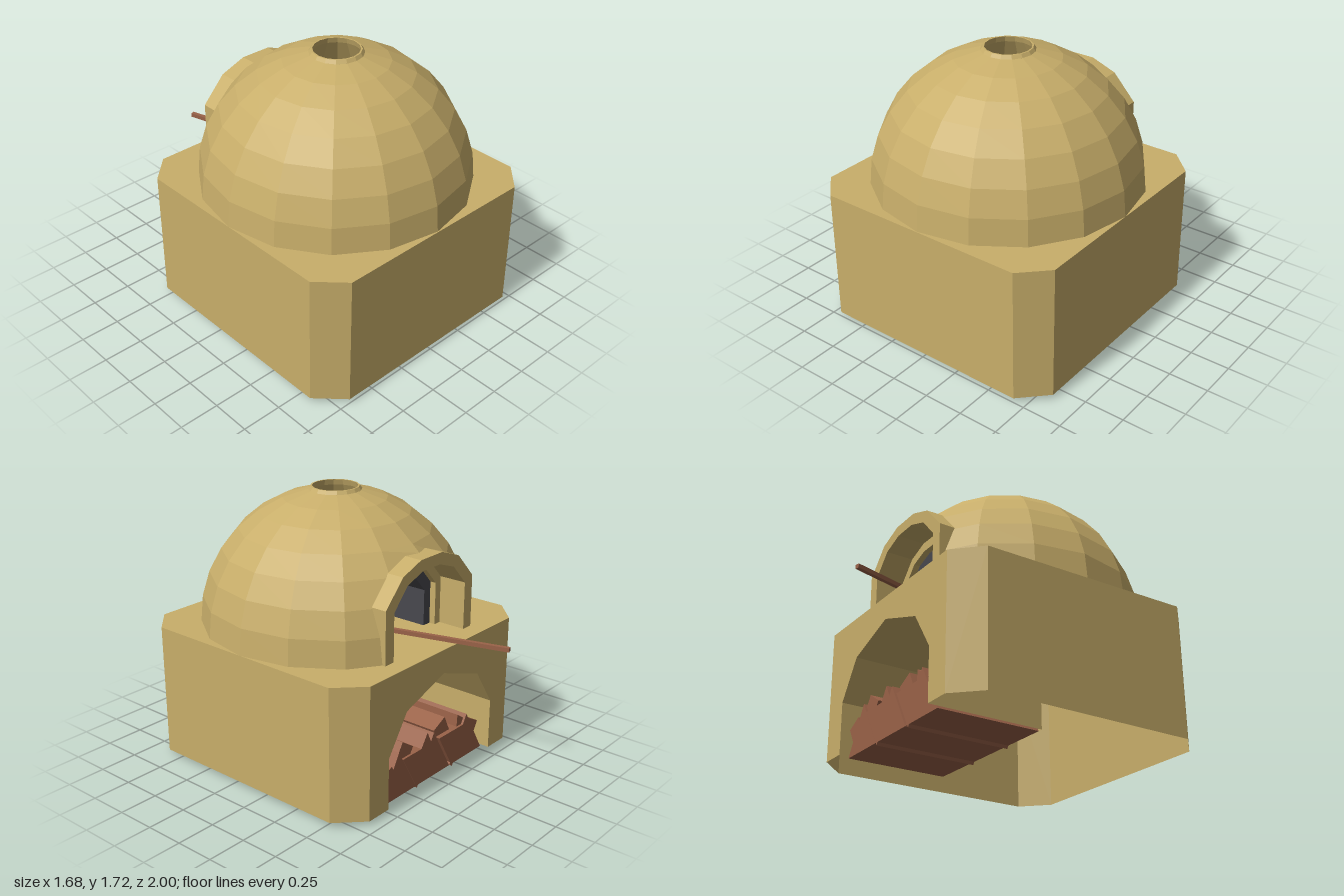
import * as THREE from 'three';

const mat = (color) => new THREE.MeshStandardMaterial({ color, flatShading: true, side: THREE.DoubleSide });
const clay = mat(0xc8ae6a), iron = mat(0x48484e), wood = mat(0x9a6248);

const V = (x, y) => new THREE.Vector2(x, y);

// Right half of an arch (from foot to crown) mirrored into a full outline
const mirrored = (half) => [
  ...half.map(([x, y]) => V(x, y)),
  ...half.filter(([x]) => x > 0).reverse().map(([x, y]) => V(-x, y)),
];

// Open wall that follows a path in xy and runs from z0 to z1
function strip(path, z0, z1) {
  const p = [];
  for (let i = 0; i < path.length - 1; i++) {
    const a = path[i], b = path[i + 1];
    p.push(a.x, a.y, z0, b.x, b.y, z0, b.x, b.y, z1, a.x, a.y, z0, b.x, b.y, z1, a.x, a.y, z1);
  }
  return fromPositions(p);
}

function fromPositions(p) {
  const g = new THREE.BufferGeometry();
  g.setAttribute('position', new THREE.Float32BufferAttribute(p, 3));
  g.computeVertexNormals();
  return g;
}

// Solid arch between an outer and an inner outline
function archRing(outer, inner, z0, z1) {
  const shape = new THREE.Shape([...outer, ...inner.slice().reverse()]);
  return new THREE.ExtrudeGeometry(shape, { depth: z1 - z0, bevelEnabled: false }).translate(0, 0, z0);
}

export function createModel() {
  const model = new THREE.Group();
  const add = (name, geo, material = clay, parent = model) => {
    const mesh = new THREE.Mesh(geo, material);
    mesh.name = name;
    parent.add(mesh);
    return mesh;
  };
  const TOP = 0.87, BOTTOM = 0.03, BACK = -0.69;

  // Base: chamfered block, open underneath
  const plan = [[-0.68, BACK], [-0.84, -0.53], [-0.84, 0.84], [-0.68, 1], [0.68, 1], [0.84, 0.84], [0.84, -0.53], [0.68, BACK]]
    .map(([x, z]) => V(x, -z));
  add('baseWalls', strip(plan, BOTTOM, TOP).rotateX(-Math.PI / 2));
  add('baseTop', new THREE.ShapeGeometry(new THREE.Shape(plan)).rotateX(-Math.PI / 2).translate(0, TOP, 0));

  // Back wall with the arched wood store
  const store = mirrored([[0.51, BOTTOM], [0.51, 0.36], [0.35, 0.6], [0, 0.72]]);
  const backWall = new THREE.Shape([V(0.68, BOTTOM), V(0.68, TOP), V(-0.68, TOP), V(-0.68, BOTTOM), ...store.slice().reverse()]);
  add('baseBackWall', new THREE.ShapeGeometry(backWall).translate(0, 0, BACK));
  add('woodStoreVault', strip(store, BACK, 0.05));
  add('woodStoreEnd', new THREE.ShapeGeometry(new THREE.Shape(store)).translate(0, 0, 0.05));

  // Dome: faceted half sphere, cut away at the back to meet the oven mouth
  const R = 0.84, CZ = 0.155, SIDES = 16, ROWS = 7;
  const domePoint = (row, col) => {
    const lat = row * Math.PI / 16, ang = col * 2 * Math.PI / SIDES;
    const r = R * Math.cos(lat), y = TOP + R * Math.sin(lat);
    let x = r * Math.sin(ang), z = -r * Math.cos(ang);
    const side = col === 1 ? 1 : col === SIDES - 1 ? -1 : 0;
    if (side && row < 3) {
      const s1 = Math.sin(Math.PI / 8), c1 = Math.cos(Math.PI / 8), q = Math.SQRT1_2;
      const t = (0.41 / r - s1) / (q - s1);
      x = side * 0.41;
      z = -r * THREE.MathUtils.lerp(c1, q, t);
    }
    if (col % SIDES === 0 && row === 3) return [0, 1.42, -0.49];
    return [x, y, z + CZ];
  };
  const faces = [];
  for (let row = 0; row < ROWS; row++) {
    for (let col = 0; col < SIDES; col++) {
      if (row < 3 && (col === 0 || col === SIDES - 1)) continue;
      const next = (col + 1) % SIDES;
      const a = domePoint(row, col), b = domePoint(row, next);
      const c = domePoint(row + 1, next), d = domePoint(row + 1, col);
      faces.push(...a, ...d, ...c, ...a, ...c, ...b);
    }
  }
  add('dome', fromPositions(faces));

  // Smoke vent: low lip and a flared shaft
  const ventProfile = [V(0.164, 1.694), V(0.15, 1.715), V(0.14, 1.715), V(0.15, 1.68), V(0.24, 1.5), V(0, 1.5)];
  add('smokeVent', new THREE.LatheGeometry(ventProfile, SIDES).translate(0, 0, CZ));

  // Oven mouth: outer arch, a stepped arch behind it and an iron lining
  const outer = mirrored([[0.415, TOP], [0.415, 1.2], [0.265, 1.36], [0.1, 1.42]]);
  const inner = mirrored([[0.34, TOP], [0.34, 1.17], [0.22, 1.3], [0.08, 1.35]]);
  const step = mirrored([[0.29, TOP], [0.29, 1.14], [0.19, 1.25], [0.07, 1.29]]);
  const hole = mirrored([[0.23, TOP], [0.23, 1.1], [0.15, 1.19], [0.05, 1.22]]);
  add('mouthArch', archRing(outer, inner, -0.58, -0.38));
  add('mouthStep', archRing(inner, step, -0.4, -0.35));
  add('ironLining', archRing(step, hole, -0.36, 0.3), iron);
  add('ironBack', new THREE.ShapeGeometry(new THREE.Shape(step)).translate(0, 0, 0.3), iron);

  // Peel resting on the oven floor with its handle sticking out
  const peel = new THREE.Group();
  peel.name = 'peel';
  add('peelHandle', new THREE.BoxGeometry(0.026, 0.026, 0.91).translate(0, 0, 0.455), wood, peel);
  add('peelBlade', new THREE.BoxGeometry(0.3, 0.018, 0.28).translate(0, 0, 1.04), wood, peel);
  peel.position.set(-0.215, 0.884, -0.997);
  peel.rotation.y = 0.27;
  model.add(peel);

  // Firewood: split wedges stacked lengthwise [x, y, radius, turn, sides]
  const firewood = new THREE.Group();
  firewood.name = 'firewood';
  const logs = [];
  for (const x of [-0.34, 0, 0.34]) logs.push([x, 0.115, 0.195, Math.PI, 3]);
  for (const x of [-0.2, 0.16]) logs.push([x, 0.165, 0.165, 0, 3]);
  for (const side of [-1, 1]) logs.push([side * 0.43, 0.17, 0.08, 0.3 * side, 4]);
  [-0.3, -0.12, 0.07, 0.27].forEach((x, i) => logs.push([x, 0.25 + 0.02 * (i % 2), 0.085, 0.6 + i * 1.3, 3 + (i % 2)]));
  logs.forEach(([x, y, r, turn, sides], i) => {
    const length = 0.66 - (i > 4 ? 0.03 * (i % 3) : 0);
    const geo = new THREE.CylinderGeometry(r, r, length, sides).rotateY(turn).rotateX(Math.PI / 2);
    add('log', geo.translate(x, y, -0.3), wood, firewood);
  });
  model.add(firewood);

  return model;
}
